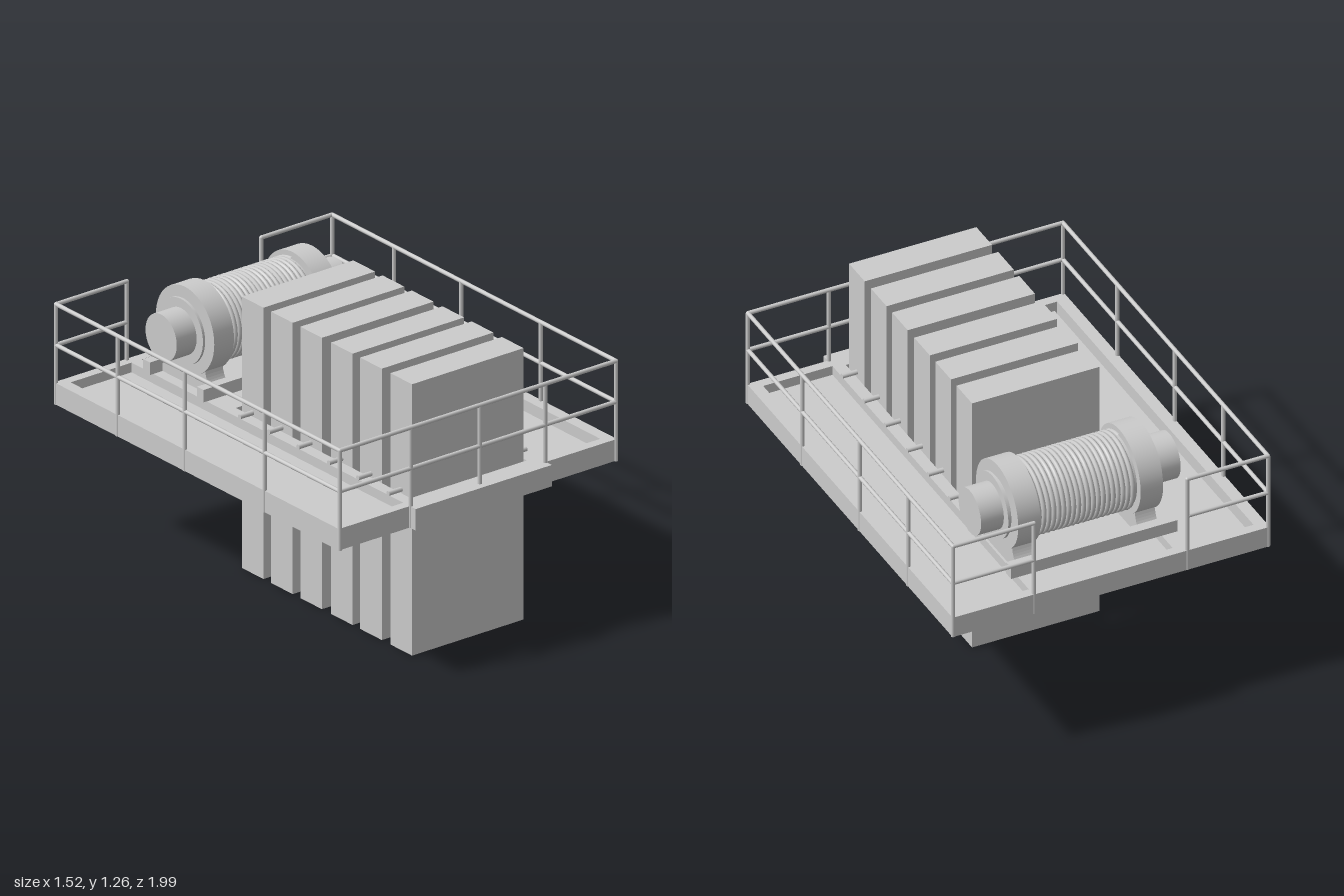
import * as THREE from 'three';

export function createModel() {
  const model = new THREE.Group();
  const material = new THREE.MeshStandardMaterial({ color: 0xcccccc });

  function add(name, geometry, parent = model) {
    const mesh = new THREE.Mesh(geometry, material);
    mesh.name = name;
    parent.add(mesh);
    return mesh;
  }
  // Box given by its limits on each axis
  function box(name, x0, x1, y0, y1, z0, z1, parent) {
    const mesh = add(name, new THREE.BoxGeometry(x1 - x0, y1 - y0, z1 - z0), parent);
    mesh.position.set((x0 + x1) / 2, (y0 + y1) / 2, (z0 + z1) / 2);
    return mesh;
  }
  // Round bar between two points
  function bar(name, a, b, radius, parent, sides = 12) {
    const start = new THREE.Vector3(...a), end = new THREE.Vector3(...b);
    const dir = end.clone().sub(start);
    const mesh = add(name, new THREE.CylinderGeometry(radius, radius, dir.length(), sides), parent);
    mesh.position.copy(start).add(end).multiplyScalar(0.5);
    mesh.quaternion.setFromUnitVectors(new THREE.Vector3(0, 1, 0), dir.normalize());
    return mesh;
  }
  function group(name) {
    const g = new THREE.Group();
    g.name = name;
    model.add(g);
    return g;
  }

  // Platform frame and recessed floors
  const low = 0.64, deck = 0.74;
  const platform = group('platform');
  for (const s of [-1, 1]) {
    const side = (name, a, b, y0, y1, z0, z1) =>
      box(name, Math.min(s * a, s * b), Math.max(s * a, s * b), y0, y1, z0, z1, platform);
    side('outerBeam', 0.7, 0.755, low, deck, -0.995, 0.955);
    side('innerBeam', 0.315, 0.37, low, deck, -0.95, 0.91);
    side('frontBeam', 0.37, 0.7, low, deck, 0.91, 0.955);
    side('walkwayFloor', 0.37, 0.688, 0.68, 0.695, -0.95, 0.91);
  }
  box('backBeam', -0.7, 0.7, low, deck, -0.995, -0.95, platform);
  box('middleBeam', -0.315, 0.315, low, deck, -0.36, -0.305, platform);
  box('frontBlock', -0.37, 0.37, low, deck, 0.91, 0.995, platform);
  box('frontLip', -0.315, 0.315, low, deck, 0.892, 0.91, platform);
  box('winchFloor', -0.315, 0.315, 0.68, 0.695, -0.95, -0.36, platform);

  // Paired diagonal braces under the winch floor
  for (const s of [-1, 1]) {
    for (const offset of [-0.022, 0.022]) {
      const brace = add('floorBrace', new THREE.BoxGeometry(0.8, 0.035, 0.022), platform);
      const angle = s * Math.atan2(0.59, 0.63);
      brace.rotation.y = angle;
      brace.position.set(offset * Math.sin(angle), 0.662, -0.655 + offset * Math.cos(angle));
    }
  }

  // Hanging slabs and the pins that hold them
  const slabs = group('slabs');
  for (const z of [0.812, 0.605, 0.405, 0.195, -0.005, -0.205]) {
    box('slab', -0.303, 0.303, 0, 1.265, z - 0.074, z + 0.074, slabs);
    for (const s of [-1, 1])
      bar('slabPin', [s * 0.295, 0.75, z], [s * 0.375, 0.75, z], 0.011, slabs);
  }

  // Railings with a gap at the back
  const railing = group('railing');
  const r = 0.0095, sideX = 0.75, frontZ = 0.955, backZ = -0.988, top = 1.105;
  for (const y of [top, 0.915]) {
    bar('frontRail', [-sideX, y, frontZ], [sideX, y, frontZ], r, railing);
    for (const s of [-1, 1]) {
      bar('sideRail', [s * sideX, y, backZ], [s * sideX, y, frontZ], r, railing);
      bar('backRail', [s * sideX, y, backZ], [s * 0.365, y, backZ], r, railing);
    }
  }
  const post = (x, z) => {
    bar('railPost', [x, low, z], [x, top, z], r, railing);
    const cap = add('railJoint', new THREE.SphereGeometry(r, 12, 8), railing);
    cap.position.set(x, top, z);
  };
  for (const s of [-1, 1]) {
    for (const z of [frontZ, 0.44, -0.105, -0.565, backZ]) post(s * sideX, z);
    post(s * 0.365, frontZ);
    post(s * 0.365, backZ);
  }
  post(0.01, frontZ);

  // Winch: drum, flanges, hubs and end motors on one axis
  const winch = group('winch');
  const cx = 0.02, cy = 0.99, cz = -0.64;
  const disc = (name, x0, x1, radius) =>
    bar(name, [x0, cy, cz], [x1, cy, cz], radius, winch, 48);
  disc('drumCore', -0.22, 0.26, 0.165);
  for (const s of [-1, 1]) {
    disc('flange', cx + s * 0.238, cx + s * 0.345, 0.2);
    disc('hub', cx + s * 0.345, cx + s * 0.355, 0.135);
    disc('hubPlate', cx + s * 0.355, cx + s * 0.367, 0.15);
    disc('motor', cx + s * 0.367, cx + s * 0.475, 0.107);
  }

  // Rope wound on the drum
  const turns = 20, coil = new THREE.Curve();
  coil.getPoint = (t, target = new THREE.Vector3()) => {
    const a = t * turns * Math.PI * 2;
    return target.set(-0.215 + 0.47 * t, cy + 0.168 * Math.cos(a), cz + 0.168 * Math.sin(a));
  };
  add('rope', new THREE.TubeGeometry(coil, turns * 36, 0.011, 8), winch);

  // Winch base beams and curved saddles
  box('baseBeamBack', -0.388, 0.403, deck, 0.798, -0.848, -0.8, winch);
  box('baseBeamFront', -0.388, 0.403, deck, 0.798, -0.48, -0.435, winch);
  const profile = new THREE.Shape();
  profile.moveTo(-0.162, deck);
  profile.lineTo(0.162, deck);
  profile.lineTo(0.162, 0.775);
  profile.quadraticCurveTo(0.135, 0.8, 0.125, 0.87);
  profile.lineTo(-0.125, 0.87);
  profile.quadraticCurveTo(-0.135, 0.8, -0.162, 0.775);
  for (const s of [-1, 1]) {
    const saddle = add('saddle', new THREE.ExtrudeGeometry(profile,
      { depth: 0.095, bevelEnabled: false, curveSegments: 8 }), winch);
    saddle.rotation.y = Math.PI / 2;
    saddle.position.set(cx + s * 0.292 - 0.0475, 0, cz);
  }
  return model;
}
